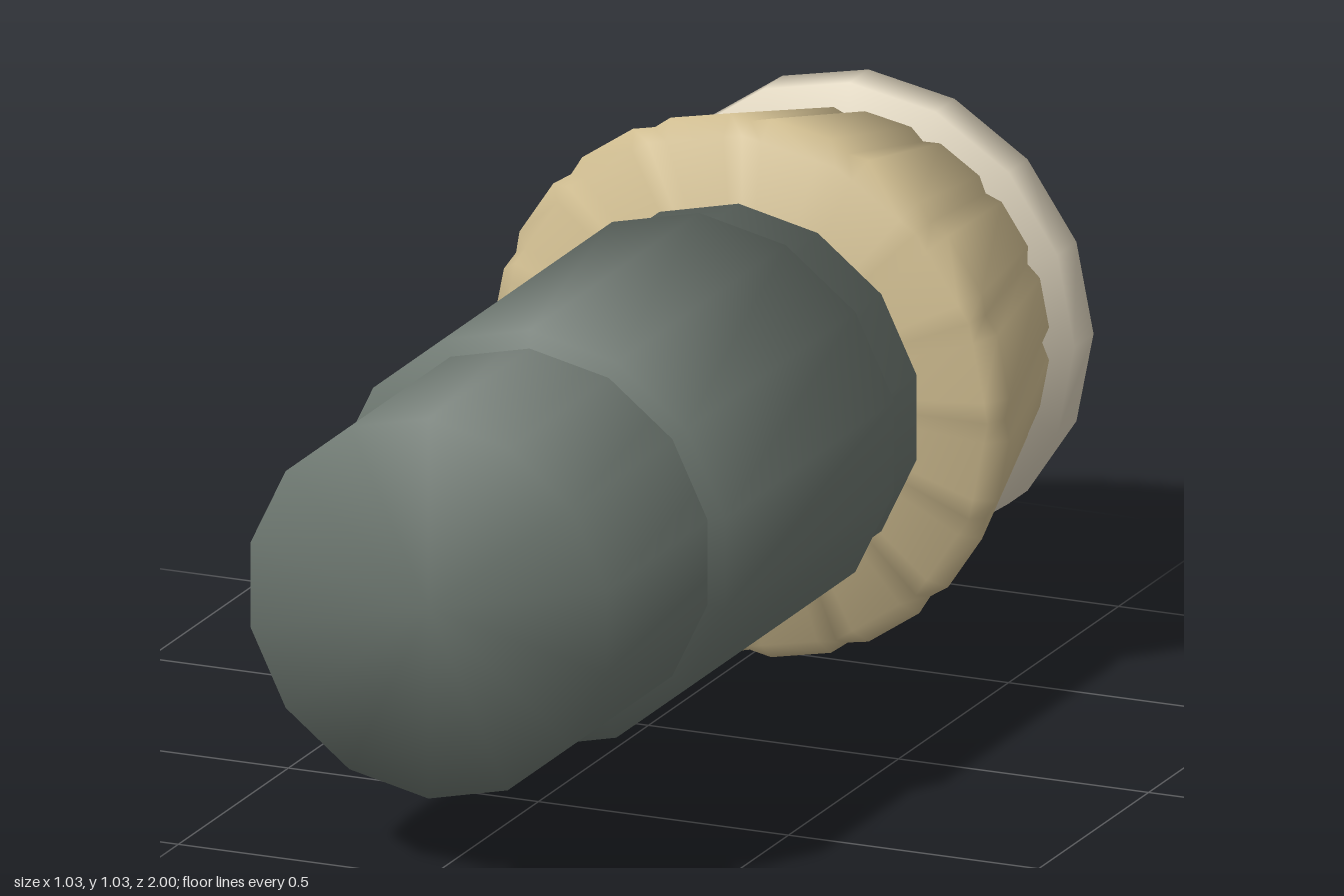
import * as THREE from 'three';

const AXIS_Y = 0.518;

const material = (name, color) => {
  const m = new THREE.MeshStandardMaterial({ color });
  m.name = name;
  return m;
};

// Smooth normals shared over edges, each face weighted by its corner angle
function smoothNormals(geo) {
  const pos = geo.attributes.position, idx = geo.index.array;
  const sums = Array.from({ length: pos.count }, () => new THREE.Vector3());
  for (let i = 0; i < idx.length; i += 3) {
    const ids = [idx[i], idx[i + 1], idx[i + 2]];
    const p = ids.map((k) => new THREE.Vector3().fromBufferAttribute(pos, k));
    const n = new THREE.Triangle(...p).getNormal(new THREE.Vector3());
    ids.forEach((k, c) => {
      const u = p[(c + 1) % 3].clone().sub(p[c]);
      const v = p[(c + 2) % 3].clone().sub(p[c]);
      sums[k].addScaledVector(n, u.angleTo(v));
    });
  }
  const normals = sums.flatMap((s) => s.normalize().toArray());
  geo.setAttribute('normal', new THREE.Float32BufferAttribute(normals, 3));
  return geo;
}

// Closed solid along z. Rings run front to back; angles start at the top.
// Each ring is { z, r } where r is a radius or a function of the point index.
function loft(rings, angles) {
  const n = angles.length, pts = [], index = [];
  for (const { z, r } of rings) {
    angles.forEach((a, i) => {
      const rad = typeof r === 'function' ? r(i) : r;
      pts.push(rad * Math.sin(a), rad * Math.cos(a), z);
    });
  }
  const front = rings.length * n, back = front + 1, last = (rings.length - 1) * n;
  pts.push(0, 0, rings[0].z, 0, 0, rings[rings.length - 1].z);
  for (let i = 0; i < n; i++) {
    const j = (i + 1) % n;
    index.push(front, j, i, back, last + i, last + j);
    for (let k = 0; k < last; k += n) {
      index.push(k + i, k + j, k + n + i, k + j, k + n + j, k + n + i);
    }
  }
  const geo = new THREE.BufferGeometry();
  geo.setAttribute('position', new THREE.Float32BufferAttribute(pts, 3));
  geo.setIndex(index);
  return smoothNormals(geo);
}

const evenAngles = (n) => Array.from({ length: n }, (_, i) => (i / n) * Math.PI * 2);

export function createModel() {
  const model = new THREE.Group();
  model.name = 'model';
  const grey = material('grey green', 0x6c766f);
  const tan = material('tan', 0xd2bf92);
  const cream = material('cream', 0xddd3bd);

  const add = (name, geo, mat) => {
    const mesh = new THREE.Mesh(geo, mat);
    mesh.name = name;
    mesh.position.y = AXIS_Y;
    model.add(mesh);
  };

  // Fourteen-sided barrel and the thicker sleeve around it
  const sides = evenAngles(14);
  add('barrel', loft([{ z: 1, r: 0.365 }, { z: -0.41, r: 0.365 }], sides), grey);
  add('sleeve', loft([{ z: 0.54, r: 0.4 }, { z: -0.23, r: 0.4 }], sides), grey);

  // Fluted collar: sixteen shallow grooves, three points per flute
  const half = THREE.MathUtils.degToRad(4.5);
  const fluteAngles = evenAngles(16).flatMap((a) => [a - half, a, a + half]);
  const groove = (deep, high) => (i) => (i % 3 === 1 ? deep : high);
  add('collar', loft([
    { z: -0.425, r: groove(0.491, 0.485) },
    { z: -0.465, r: groove(0.508, 0.519) },
    { z: -0.915, r: groove(0.385, 0.4) },
  ], fluteAngles), tan);

  // End cap
  add('endCap', loft([{ z: -0.913, r: 0.45 }, { z: -1, r: 0.45 }], evenAngles(16)), cream);

  return model;
}
